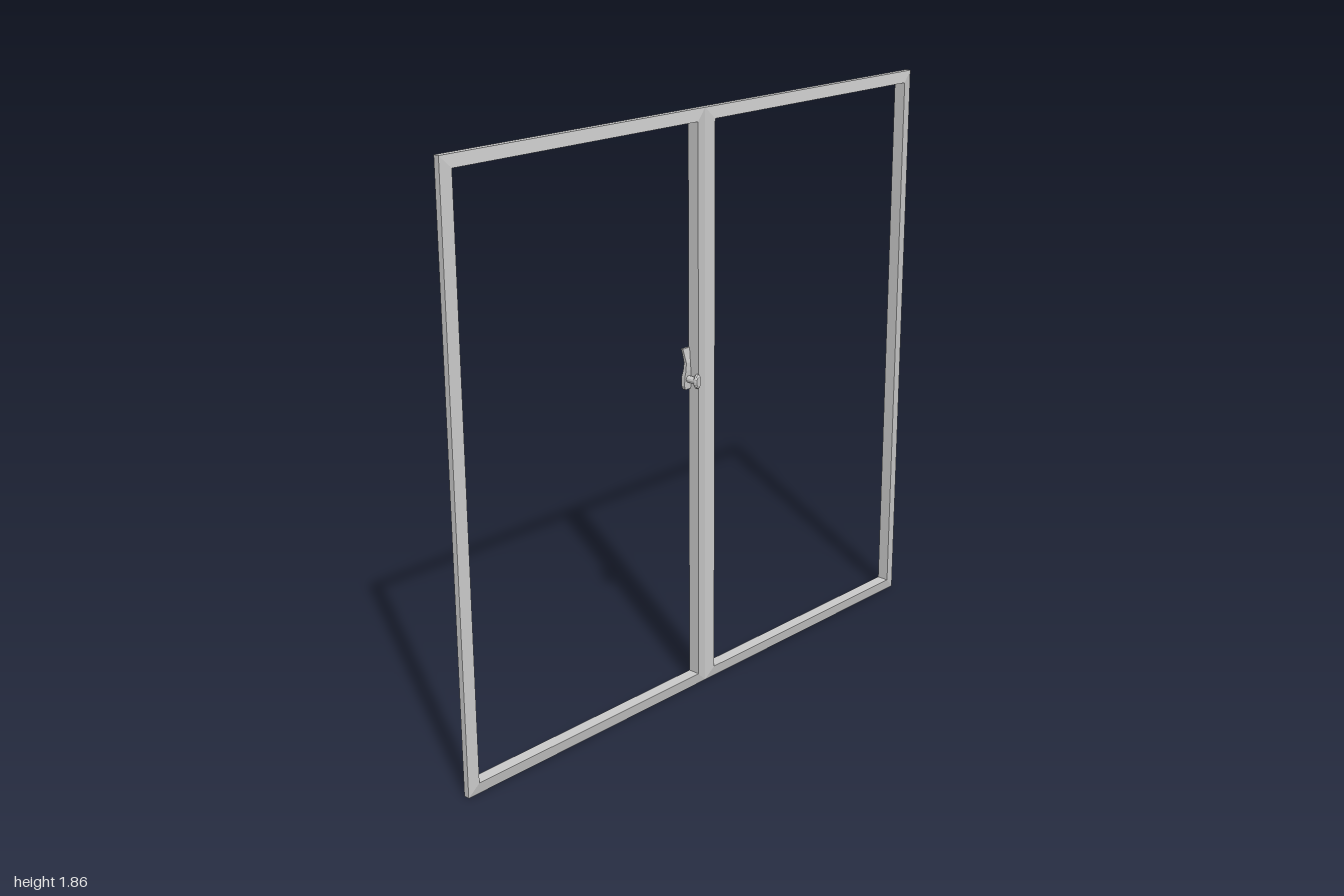
import * as THREE from 'three';

const material = new THREE.MeshStandardMaterial({ color: 0xcccccc, flatShading: true });
const H = 1.86;

// bar section as [inset from the outer edge, x]: thin outside, thick inside
const SECTION = [[0, -0.011], [0, 0.008], [0.037, 0.014], [0.037, -0.026]];

// mitred rectangular frame swept from the bar section
function frameGeometry(z0, z1) {
  const corner = (i, [inset, x]) => [
    x,
    i < 2 ? inset : H - inset,
    i === 0 || i === 3 ? z0 + inset : z1 - inset,
  ];
  const pos = [];
  for (let i = 0; i < 4; i++) {
    for (let k = 0; k < 4; k++) {
      const j = (i + 1) % 4, m = (k + 1) % 4;
      const a = corner(i, SECTION[k]), b = corner(j, SECTION[k]);
      const c = corner(j, SECTION[m]), d = corner(i, SECTION[m]);
      pos.push(...a, ...d, ...c, ...a, ...c, ...b);
    }
  }
  const g = new THREE.BufferGeometry();
  g.setAttribute('position', new THREE.Float32BufferAttribute(pos, 3));
  g.computeVertexNormals();
  return g;
}

// lever stations from bottom to top: [y, x centre, half width in z, half thickness]
const LEVER = [
  [1.0, -0.023, 0.011, 0.006],
  [1.012, -0.024, 0.015, 0.007],
  [1.04, -0.024, 0.014, 0.007],
  [1.06, -0.021, 0.011, 0.006],
  [1.085, -0.02, 0.009, 0.005],
  [1.11, -0.024, 0.012, 0.004],
  [1.13, -0.027, 0.016, 0.004],
];

function leverGeometry() {
  const n = LEVER.length - 1;
  const g = new THREE.BoxGeometry(2, n, 2, 1, n, 1);
  const p = g.attributes.position;
  for (let i = 0; i < p.count; i++) {
    const [y, x, w, t] = LEVER[Math.round(p.getY(i) + n / 2)];
    p.setXYZ(i, x + p.getX(i) * t, y, p.getZ(i) * w);
  }
  g.computeVertexNormals();
  return g;
}

function add(parent, geometry, name) {
  const mesh = new THREE.Mesh(geometry, material);
  mesh.name = name;
  parent.add(mesh);
  return mesh;
}

export function createModel() {
  const model = new THREE.Group();
  model.name = 'doubleWindowFrame';

  // two sashes meeting at the centre
  add(model, frameGeometry(0, 1), 'frontSash');
  add(model, frameGeometry(-1, 0), 'backSash');

  // latch on the meeting stile of the front sash
  const latch = new THREE.Group();
  latch.name = 'latch';
  latch.position.z = 0.05;
  add(latch, leverGeometry(), 'lever');

  // spindle through the stile
  const spindle = add(latch, new THREE.CylinderGeometry(0.011, 0.011, 0.04, 12), 'spindle');
  spindle.rotation.z = Math.PI / 2;
  spindle.position.set(-0.003, 1.032, -0.003);

  // oval knob with a softened outer edge
  const profile = [[0, 0], [0.021, 0], [0.024, 0.004], [0.022, 0.01], [0.017, 0.013], [0, 0.013]]
    .map(([r, h]) => new THREE.Vector2(r, h));
  const knob = add(latch, new THREE.LatheGeometry(profile, 16), 'knob');
  knob.rotation.z = -Math.PI / 2;
  knob.scale.z = 0.55;
  knob.position.set(0.014, 1.032, -0.002);
  model.add(latch);

  return model;
}
